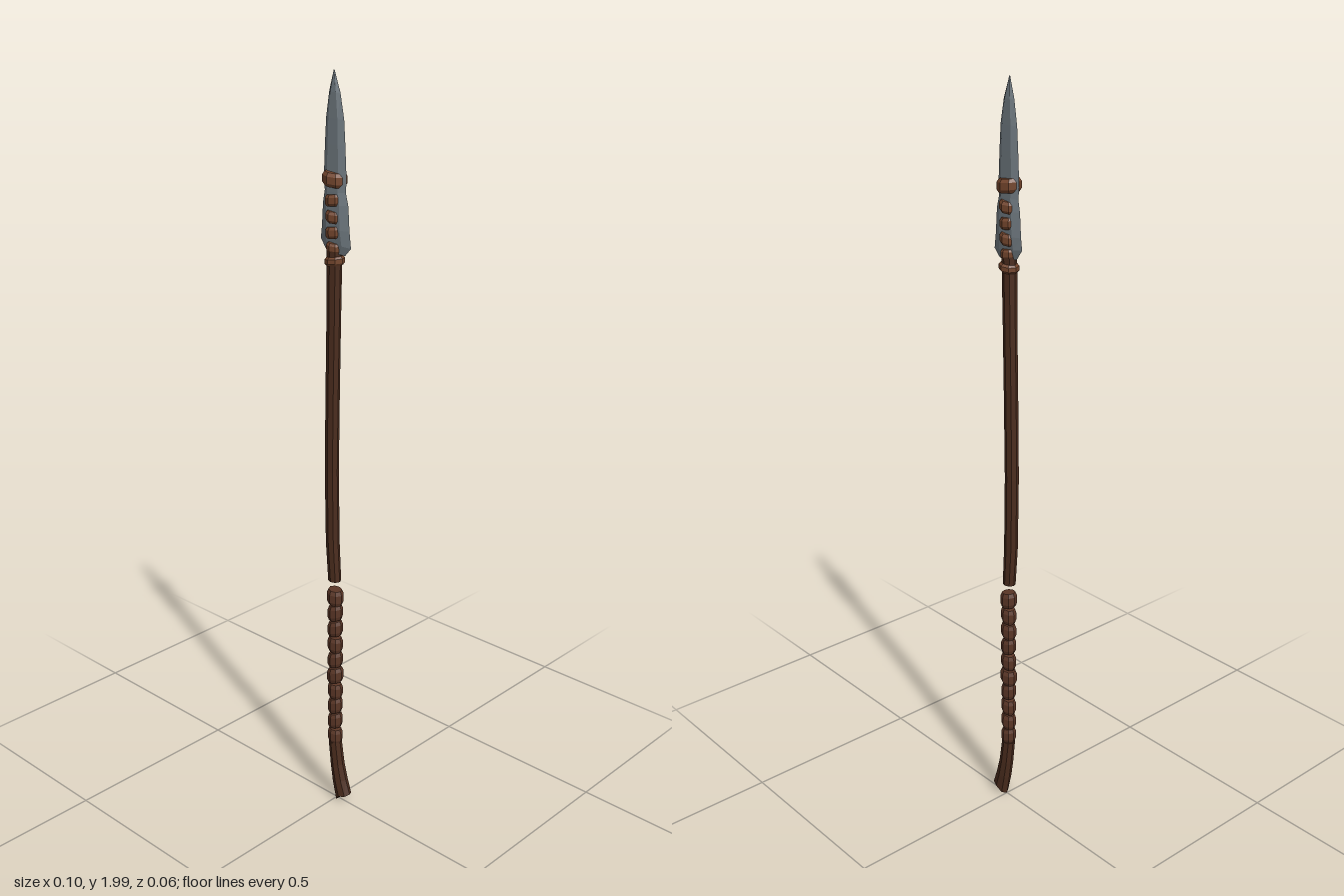
import * as THREE from 'three';

const mat = (color) => new THREE.MeshStandardMaterial({ color, flatShading: true });
const wood = mat(0x4a2c1d);
const cord = mat(0x74462d);
const grip = mat(0x5a3626);
const stone = mat(0x737d84);

// Closed skin over rings of points, listed from bottom to top
function loft(rings) {
  const pos = [], n = rings[0].length;
  const tri = (...pts) => pts.forEach((p) => pos.push(p.x, p.y, p.z));
  for (let i = 0; i < rings.length - 1; i++) {
    for (let j = 0; j < n; j++) {
      const k = (j + 1) % n, lo = rings[i], hi = rings[i + 1];
      tri(lo[j], lo[k], hi[k]);
      tri(lo[j], hi[k], hi[j]);
    }
  }
  const centre = (r) => r.reduce((s, p) => s.add(p), new THREE.Vector3()).divideScalar(n);
  const first = rings[0], last = rings[rings.length - 1];
  for (let j = 0; j < n; j++) {
    const k = (j + 1) % n;
    tri(centre(first), first[k], first[j]);
    tri(centre(last), last[j], last[k]);
  }
  const g = new THREE.BufferGeometry();
  g.setAttribute('position', new THREE.Float32BufferAttribute(pos, 3));
  g.computeVertexNormals();
  return g;
}

// Oval ring centred at (x, y); slope tilts it so that it rises towards +x
function ring(x, y, rx, rz, slope = 0, sides = 8) {
  return Array.from({ length: sides }, (_, j) => {
    const t = (j / sides) * Math.PI * 2, dx = Math.cos(t) * rx;
    return new THREE.Vector3(x + dx, y + dx * slope, -Math.sin(t) * rz);
  });
}

function add(group, name, geometry, material) {
  const mesh = new THREE.Mesh(geometry, material);
  mesh.name = name;
  group.add(mesh);
}

// Faceted band wrapped round the shaft
function band(x, y, rx, rz, h, slope) {
  return loft([
    ring(x, y - h / 2, rx * 0.82, rz * 0.8, slope),
    ring(x, y - h / 4, rx, rz, slope),
    ring(x, y + h / 4, rx, rz, slope),
    ring(x, y + h / 2, rx * 0.82, rz * 0.8, slope),
  ]);
}

export function createModel() {
  const spear = new THREE.Group();
  spear.name = 'spear';

  // Slightly bowed shaft: x, y, radius
  const shaft = [
    [-0.009, 0.69, 0.018], [-0.016, 0.8, 0.019], [-0.019, 1.0, 0.019],
    [-0.016, 1.2, 0.019], [-0.012, 1.4, 0.019], [-0.009, 1.58, 0.02],
  ];
  add(spear, 'shaft', loft(shaft.map(([x, y, r]) => ring(x, y, r, r * 0.9))), wood);

  // Bent butt, with a slanted, notched end
  const end = ring(0.024, 0.027, 0.024, 0.02, 0.6);
  end[5].x += 0.003;
  end.forEach((p) => { if (Math.abs(p.x - 0.024) < 0.005) p.y += 0.006; });
  add(spear, 'butt', loft([
    end,
    ring(0.012, 0.075, 0.021, 0.02, 0.35),
    ring(0.002, 0.125, 0.019, 0.019, 0.2),
    ring(-0.007, 0.195, 0.018, 0.018, 0.1),
  ]), wood);

  // Grip bands
  const gripGroup = new THREE.Group();
  gripGroup.name = 'grip';
  for (let i = 0; i < 10; i++) {
    const r = i % 5 === 4 || i === 9 ? 0.023 : 0.021;
    add(gripGroup, 'gripBand', band(-0.007, 0.215 + i * 0.0475, r, r * 0.95, 0.043, i % 3 ? 0.2 : -0.1), grip);
  }
  spear.add(gripGroup);

  // Chipped blade: left x, right x, y, half thickness, tilt of the edge
  const blade = [
    [-0.036, 0.026, 1.572, 0.005, -0.1], [-0.055, 0.045, 1.595, 0.008, -0.12],
    [-0.051, 0.040, 1.63, 0.012, 0], [-0.047, 0.036, 1.69, 0.012, 0],
    [-0.041, 0.028, 1.72, 0.012, 0], [-0.044, 0.030, 1.75, 0.011, 0],
    [-0.040, 0.026, 1.83, 0.010, 0], [-0.036, 0.022, 1.89, 0.009, 0],
    [-0.026, 0.010, 1.95, 0.007, 0], [-0.011, -0.009, 2.0, 0.001, 0],
  ];
  add(spear, 'blade', loft(blade.map(([a, b, y, d, s]) => {
    const cx = (a + b) / 2;
    return ring(cx, y, (b - a) / 2, d, s, 6);
  })), stone);

  // Lashing that ties the blade on: y, half width, half depth, height
  const lashing = new THREE.Group();
  lashing.name = 'lashing';
  const ties = [
    [1.552, 0.025, 0.025, 0.022], [1.585, 0.021, 0.021, 0.024], [1.622, 0.023, 0.023, 0.028],
    [1.66, 0.022, 0.023, 0.028], [1.7, 0.024, 0.024, 0.028], [1.75, 0.031, 0.029, 0.034],
  ];
  ties.forEach(([y, rx, rz, h], i) =>
    add(lashing, 'tie', band(-0.008, y, rx, rz, h, i % 2 ? -0.1 : 0.12), cord));
  spear.add(lashing);

  return spear;
}
